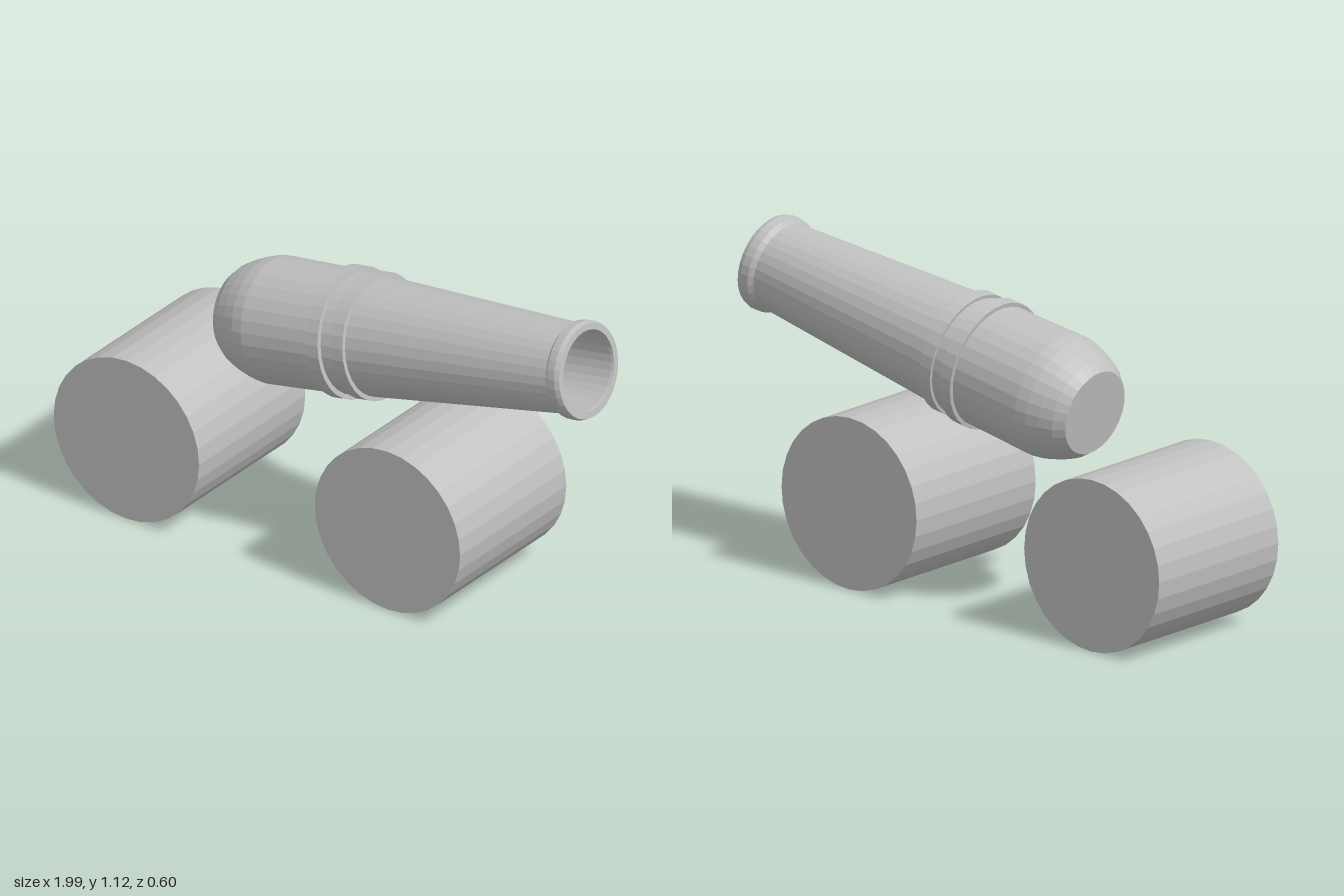
import * as THREE from 'three';

export function createModel() {
  const model = new THREE.Group();
  model.name = 'cannon';
  const metal = new THREE.MeshStandardMaterial({ color: 0xc0c0c0, flatShading: true });
  metal.name = 'plain grey';

  // Wheels: two wide drums lying along z
  const wheelGeometry = new THREE.CylinderGeometry(0.298, 0.298, 0.6, 32).rotateX(Math.PI / 2);
  for (const [name, x] of [['rearWheel', -0.702], ['frontWheel', 0.369]]) {
    const wheel = new THREE.Mesh(wheelGeometry, metal);
    wheel.name = name;
    wheel.position.set(x, 0.298, 0);
    model.add(wheel);
  }

  // Barrel: [radius, distance from the breech], ending inside the bore
  const profile = [
    [0, 0], [0.147, 0], [0.175, 0.035], [0.195, 0.08], [0.21, 0.125], [0.217, 0.168],
    [0.211, 0.446], [0.225, 0.446], [0.225, 0.494], [0.208, 0.494],
    [0.206, 0.543], [0.217, 0.543], [0.217, 0.591], [0.202, 0.591],
    [0.153, 1.39], [0.167, 1.405], [0.169, 1.435], [0.163, 1.452],
    [0.14, 1.452], [0.138, 1.44], [0.138, 1.0], [0, 1.0],
  ].map(([r, t]) => new THREE.Vector2(r, t));
  const barrel = new THREE.Mesh(new THREE.LatheGeometry(profile, 32), metal);
  barrel.name = 'barrel';
  barrel.position.set(-0.465, 0.715, -0.013);
  barrel.rotation.z = THREE.MathUtils.degToRad(9.5 - 90); // muzzle raised toward +x
  model.add(barrel);

  return model;
}
